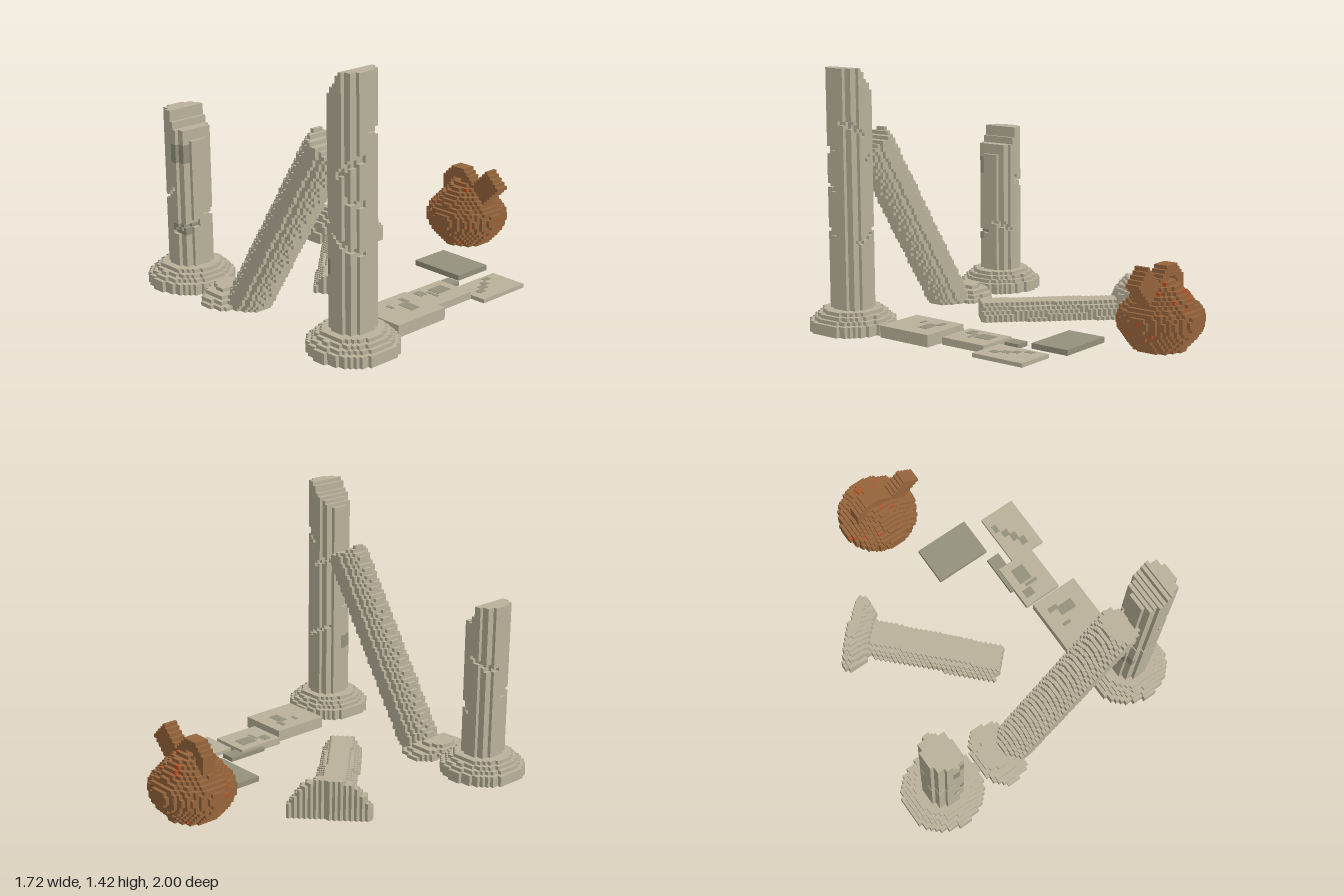
import * as THREE from 'three';

const S = 0.02; // edge of one cube
const STONE = 0, DARK = 1, CLAY = 2, RUST = 3, EMPTY = -1;

function makeMaterials() {
  return [['paleStone', 0xbab29b], ['darkStone', 0x95917d], ['clay', 0x96653c], ['rust', 0xb4552c]]
    .map(([name, color]) => {
      const m = new THREE.MeshStandardMaterial({ color });
      m.name = name;
      return m;
    });
}

// Repeatable value 0..1 for a cell
function hash(i, j, k) {
  const v = Math.sin(i * 12.99 + j * 78.23 + k * 37.72) * 43758.55;
  return v - Math.floor(v);
}

// The six cube sides: normal axis, sign
const SIDES = [0, 1, 2].flatMap(a => [[a, 1], [a, -1]]);

// Fill a box of cells by a rule giving a material index, keeping only outer faces
function voxels(name, min, max, rule, materials) {
  const lo = min.map(v => Math.round(v / S)), hi = max.map(v => Math.round(v / S));
  const n = hi.map((h, a) => h - lo[a]);
  const cells = new Int8Array(n[0] * n[1] * n[2]).fill(EMPTY);
  const at = (i, j, k) => (i < 0 || j < 0 || k < 0 || i >= n[0] || j >= n[1] || k >= n[2])
    ? EMPTY : cells[(i * n[1] + j) * n[2] + k];
  const each = fn => {
    for (let i = 0; i < n[0]; i++) for (let j = 0; j < n[1]; j++) for (let k = 0; k < n[2]; k++) fn(i, j, k);
  };
  each((i, j, k) => {
    cells[(i * n[1] + j) * n[2] + k] = rule((lo[0] + i + 0.5) * S, (lo[1] + j + 0.5) * S, (lo[2] + k + 0.5) * S);
  });

  const pos = [], nor = [], faces = materials.map(() => []);
  each((i, j, k) => {
    const m = at(i, j, k);
    if (m === EMPTY) return;
    for (const [a, s] of SIDES) {
      const d = [0, 0, 0];
      d[a] = s;
      if (at(i + d[0], j + d[1], k + d[2]) !== EMPTY) continue;
      const b = (a + 1) % 3, c = (a + 2) % 3, start = pos.length / 3;
      for (const [u, v] of [[0, 0], [1, 0], [1, 1], [0, 1]]) {
        const p = [lo[0] + i, lo[1] + j, lo[2] + k];
        p[a] += s > 0 ? 1 : 0;
        p[b] += u;
        p[c] += v;
        pos.push(p[0] * S, p[1] * S, p[2] * S);
        nor.push(...d);
      }
      const order = s > 0 ? [0, 1, 2, 0, 2, 3] : [0, 2, 1, 0, 3, 2];
      faces[m].push(...order.map(o => start + o));
    }
  });
  const geo = new THREE.BufferGeometry();
  geo.setAttribute('position', new THREE.Float32BufferAttribute(pos, 3));
  geo.setAttribute('normal', new THREE.Float32BufferAttribute(nor, 3));
  geo.setIndex(faces.flat());
  let first = 0;
  faces.forEach((f, m) => {
    if (f.length) geo.addGroup(first, f.length, m);
    first += f.length;
  });
  const mesh = new THREE.Mesh(geo, materials);
  mesh.name = name;
  return mesh;
}

// Column with a flared foot, along any axis from its foot
function columnRule(foot, axis, length) {
  const o = new THREE.Vector3(...foot), d = new THREE.Vector3(...axis).normalize(), p = new THREE.Vector3();
  return (x, y, z) => {
    p.set(x, y, z).sub(o);
    const s = p.dot(d);
    if (s < 0 || s > length) return EMPTY;
    const r = Math.sqrt(Math.max(0, p.lengthSq() - s * s));
    const limit = s < 0.05 ? 0.225 : s < 0.12 ? 0.225 - (s - 0.05) * 1.1 : 0.108;
    return r < limit ? STONE : EMPTY;
  };
}

// Upright column with a broken top, carved cracks and dark patches
function uprightRule(cx, cz, topAt, cracks, patches) {
  const base = columnRule([cx, 0, cz], [0, 1, 0], 2);
  return (x, y, z) => {
    if (y > topAt(x) || base(x, y, z) === EMPTY) return EMPTY;
    const r = Math.hypot(x - cx, z - cz);
    if (y > 0.14 && r > 0.088) {
      for (const [x0, y0, x1, y1, side] of cracks) {
        const t = (x - x0) / (x1 - x0);
        if (t >= 0 && t <= 1 && (z - cz) * side > 0 && Math.abs(y - y0 - t * (y1 - y0)) < 0.013) return EMPTY;
      }
    }
    const dark = z > cz && patches.some(([x0, x1, y0, y1]) => x > x0 && x < x1 && y > y0 && y < y1);
    return dark ? DARK : STONE;
  };
}

// Round jar radius by height
const JAR = [[0, 0.13], [0.1, 0.215], [0.15, 0.23], [0.2, 0.222], [0.3, 0.135], [0.36, 0.06]];
function jarRadius(y) {
  for (let i = 1; i < JAR.length; i++) {
    const [y0, r0] = JAR[i - 1], [y1, r1] = JAR[i];
    if (y <= y1) return r0 + (r1 - r0) * (y - y0) / (y1 - y0);
  }
  return 0;
}

function jarRule(x, y, z) {
  const dx = x + 0.03, dz = z + 0.78;
  const body = Math.hypot(dx, dz * 1.04) < jarRadius(y);
  // Arched handle
  const ring = Math.hypot(x + 0.07, y - 0.335);
  const handle = Math.abs(dz) < 0.05 && y > 0.26 && ring > 0.052 && ring < 0.106;
  // Slanted spout
  const along = (x - 0.06 + y - 0.28) * Math.SQRT1_2, across = (x - 0.06 - y + 0.28) * Math.SQRT1_2;
  const spout = Math.abs(dz) < 0.05 && along > 0 && along < 0.185 && Math.abs(across) < 0.065;
  if (!body && !handle && !spout) return EMPTY;
  return body && hash(Math.round(x * 50), Math.round(y * 50), Math.round(z * 50)) < 0.05 ? RUST : CLAY;
}

export function createModel() {
  const model = new THREE.Group();
  model.name = 'ruins';
  const mats = makeMaterials();
  const add = (name, min, max, rule) => model.add(voxels(name, min, max, rule, mats));

  // Standing columns
  const shortTop = x => x < -0.73 ? 0.91 : x < -0.64 ? 0.97 : x < -0.61 ? 0.92 : x < -0.57 ? 0.87 : 0.83;
  add('shortColumn', [-0.9, 0, 0.5], [-0.4, 1, 1.04], uprightRule(-0.64, 0.77, shortTop,
    [[-0.75, 0.45, -0.63, 0.55, 1], [-0.64, 0.3, -0.55, 0.36, 1], [-0.74, 0.62, -0.62, 0.7, -1], [-0.62, 0.36, -0.54, 0.42, -1]],
    [[-0.64, -0.55, 0.7, 0.8], [-0.64, -0.57, 0.29, 0.36]]));
  const tallTop = x => Math.min(1.41, 1.28 + Math.max(0, x - 0.55) * 1.1);
  add('tallColumn', [0.4, 0, 0.5], [0.9, 1.42, 1.04], uprightRule(0.64, 0.77, tallTop,
    [[0.54, 0.69, 0.75, 0.51, 1], [0.65, 0.92, 0.74, 1.01, 1], [0.69, 0.8, 0.75, 0.77, 1],
      [0.54, 1.0, 0.64, 0.92, -1], [0.64, 1.06, 0.75, 1.15, -1], [0.56, 0.55, 0.7, 0.48, -1]],
    [[0.54, 0.59, 0.41, 0.48]]));

  // Column leaning on the tall one, its foot sunk in the ground
  add('leaningColumn', [-0.5, 0, 0.5], [0.62, 1.16, 1.04], columnRule([-0.225, -0.093, 0.77], [0.535, 0.845, 0], 1.315));

  // Fallen column, half buried
  add('fallenColumn', [-0.8, 0, -0.5], [0.2, 0.24, 0.54], columnRule([-0.55, -0.29, -0.29].map((v, i) => i === 1 ? 0 : v), [0.68, 0, 0.73], 0.88));

  // Jar with handle and spout
  add('jar', [-0.3, 0, -1.02], [0.28, 0.5, -0.54], jarRule);

  // Flat slabs: x range, z range, height, material
  [[0.06, 0.39, -0.49, -0.26, 0.03, DARK],
    [0.48, 0.7, -0.44, -0.12, 0.022, STONE],
    [0.36, 0.44, -0.21, 0.03, 0.025, DARK],
    [0.38, 0.61, -0.12, 0.16, 0.04, STONE],
    [0.41, 0.7, 0.18, 0.515, 0.066, STONE],
    // Worn patches
    [0.43, 0.51, -0.07, 0.03, 0.0415, DARK],
    [0.45, 0.53, 0.04, 0.06, 0.0415, DARK],
    [0.41, 0.47, 0.07, 0.12, 0.0415, DARK],
    [0.51, 0.61, 0.27, 0.33, 0.0675, DARK],
    [0.46, 0.52, 0.25, 0.28, 0.0675, DARK],
    [0.48, 0.53, 0.37, 0.39, 0.0675, DARK],
    [0.5, 0.53, -0.37, -0.32, 0.0235, DARK],
    [0.53, 0.57, -0.31, -0.27, 0.0235, DARK],
    [0.56, 0.6, -0.27, -0.22, 0.0235, DARK],
    [0.59, 0.63, -0.22, -0.17, 0.0235, DARK],
  ].forEach(([x0, x1, z0, z1, top, m], i) => {
    const h = i < 5 ? top : 0.004;
    const slab = new THREE.Mesh(new THREE.BoxGeometry(x1 - x0, h, z1 - z0), mats[m]);
    slab.position.set((x0 + x1) / 2, top - h / 2, (z0 + z1) / 2);
    slab.name = i < 5 ? 'slab' : 'wornPatch';
    model.add(slab);
  });

  return model;
}
